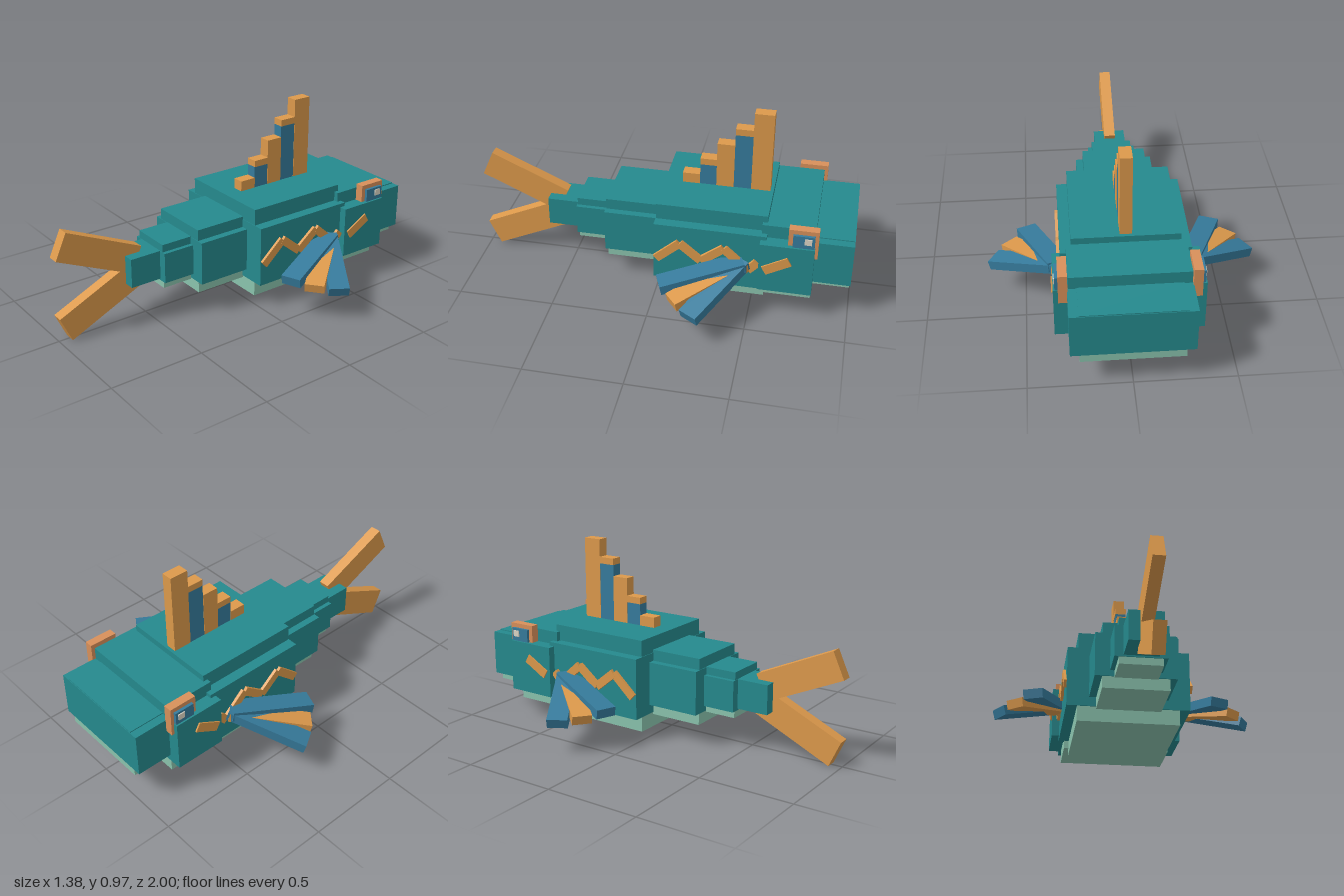
import * as THREE from 'three';

const paint = (name, hex) => {
  const m = new THREE.MeshStandardMaterial({ color: hex });
  m.name = name;
  return m;
};

export function createModel() {
  const teal = paint('teal', 0x25898d);
  const green = paint('paleGreen', 0x8ac3ad);
  const orange = paint('orange', 0xdc994b);
  const blue = paint('blue', 0x367b9c);
  const copper = paint('copper', 0xd8905a);
  const cream = paint('cream', 0xddd5c6);

  const model = new THREE.Group();
  model.name = 'fish';

  // Box given by its extents on each axis
  const box = (name, mat, x0, x1, y0, y1, z0, z1, parent = model) => {
    const mesh = new THREE.Mesh(new THREE.BoxGeometry(Math.abs(x1 - x0), y1 - y0, z1 - z0), mat);
    mesh.position.set((x0 + x1) / 2, (y0 + y1) / 2, (z0 + z1) / 2);
    mesh.name = name;
    parent.add(mesh);
    return mesh;
  };

  // Bar running from a to b, w wide and t thick
  const bar = (name, mat, a, b, w, t, parent = model) => {
    const from = new THREE.Vector3(...a), to = new THREE.Vector3(...b);
    const mesh = new THREE.Mesh(new THREE.BoxGeometry(w, t, from.distanceTo(to)), mat);
    mesh.position.copy(from).lerp(to, 0.5);
    mesh.lookAt(to);
    mesh.name = name;
    parent.add(mesh);
  };

  // Body segments: wide flanks, a narrower raised back and a pale belly
  const segments = [
    // name, z0, z1, flank half width, y0, y1, back half width, belly y, back y
    ['snout', -1, -0.8, 0.295, 0.2, 0.438, 0.25, 0.155, 0.443],
    ['head', -0.81, -0.54, 0.36, 0.16, 0.435, 0.29, 0.09, 0.505],
    ['trunk', -0.57, 0, 0.32, 0.133, 0.455, 0.265, 0.052, 0.54],
    ['tailBase', -0.01, 0.285, 0.205, 0.182, 0.412, 0.168, 0.12, 0.47],
    ['tailMiddle', 0.28, 0.457, 0.13, 0.212, 0.375, 0.108, 0.175, 0.415],
  ];
  for (const [name, z0, z1, w, y0, y1, bw, low, high] of segments) {
    box(name + 'Flanks', teal, -w, w, y0, y1, z0, z1);
    box(name + 'Back', teal, -bw, bw, y1 - 0.02, high, z0 + 0.003, z1 - 0.003);
    box(name + 'Belly', green, -bw, bw, low, y0 + 0.02, z0 + 0.005, z1 - 0.005);
  }
  box('tailTip', teal, -0.086, 0.086, 0.22, 0.375, 0.45, 0.625);

  // Stepped dorsal fin
  const steps = [
    [-0.55, -0.45, 0.975, 0], [-0.45, -0.36, 0.88, 0.845], [-0.36, -0.27, 0.785, 0],
    [-0.27, -0.185, 0.69, 0.655], [-0.185, -0.095, 0.595, 0],
  ];
  for (const [z0, z1, top, cap] of steps) {
    if (cap) box('dorsalFinMembrane', blue, -0.028, 0.028, 0.5, cap, z0, z1);
    box('dorsalFinSpine', orange, -0.03, 0.03, cap || 0.5, top, z0, z1);
  }

  // Forked tail fin
  for (const s of [1, -1]) {
    bar(s > 0 ? 'upperTailFin' : 'lowerTailFin', orange,
      [0, 0.298 + s * 0.037, 0.56], [0, 0.298 + s * 0.2235, 0.97], 0.06, 0.148);
  }

  const zigzag = [[0.255, -0.015], [0.362, -0.135], [0.272, -0.245], [0.362, -0.36], [0.25, -0.485], [0.3, -0.53]];
  for (const s of [1, -1]) {
    const side = new THREE.Group();
    side.name = s > 0 ? 'leftSide' : 'rightSide';
    model.add(side);

    // Eye: copper frame, blue iris and cream glint
    box('eyeFrame', copper, s * 0.292, s * 0.337, 0.37, 0.528, -0.825, -0.677, side);
    box('eyeIris', blue, s * 0.33, s * 0.352, 0.436, 0.505, -0.807, -0.7, side);
    box('eyeGlint', cream, s * 0.35, s * 0.357, 0.46, 0.493, -0.793, -0.757, side);

    // Cheek mark
    bar('cheekMark', orange, [s * 0.36, 0.284, -0.567], [s * 0.36, 0.354, -0.692], 0.016, 0.05, side);

    // Zigzag stripe along the flank
    for (let i = 0; i + 1 < zigzag.length; i++) {
      const [a, b] = [zigzag[i], zigzag[i + 1]];
      bar('zigzagStripe', orange, [s * (0.322 + i * 0.0004), ...a], [s * (0.322 + i * 0.0004), ...b], 0.026, 0.044, side);
    }

    // Fan of three side fin rays
    bar('frontFinRay', blue, [s * 0.32, 0.29, -0.45], [s * 0.655, 0.165, -0.24], 0.105, 0.05, side);
    bar('middleFinRay', orange, [s * 0.32, 0.282, -0.46], [s * 0.577, 0.182, -0.143], 0.1, 0.048, side);
    bar('rearFinRay', blue, [s * 0.33, 0.292, -0.46], [s * 0.488, 0.21, -0.062], 0.105, 0.05, side);
  }
  return model;
}
